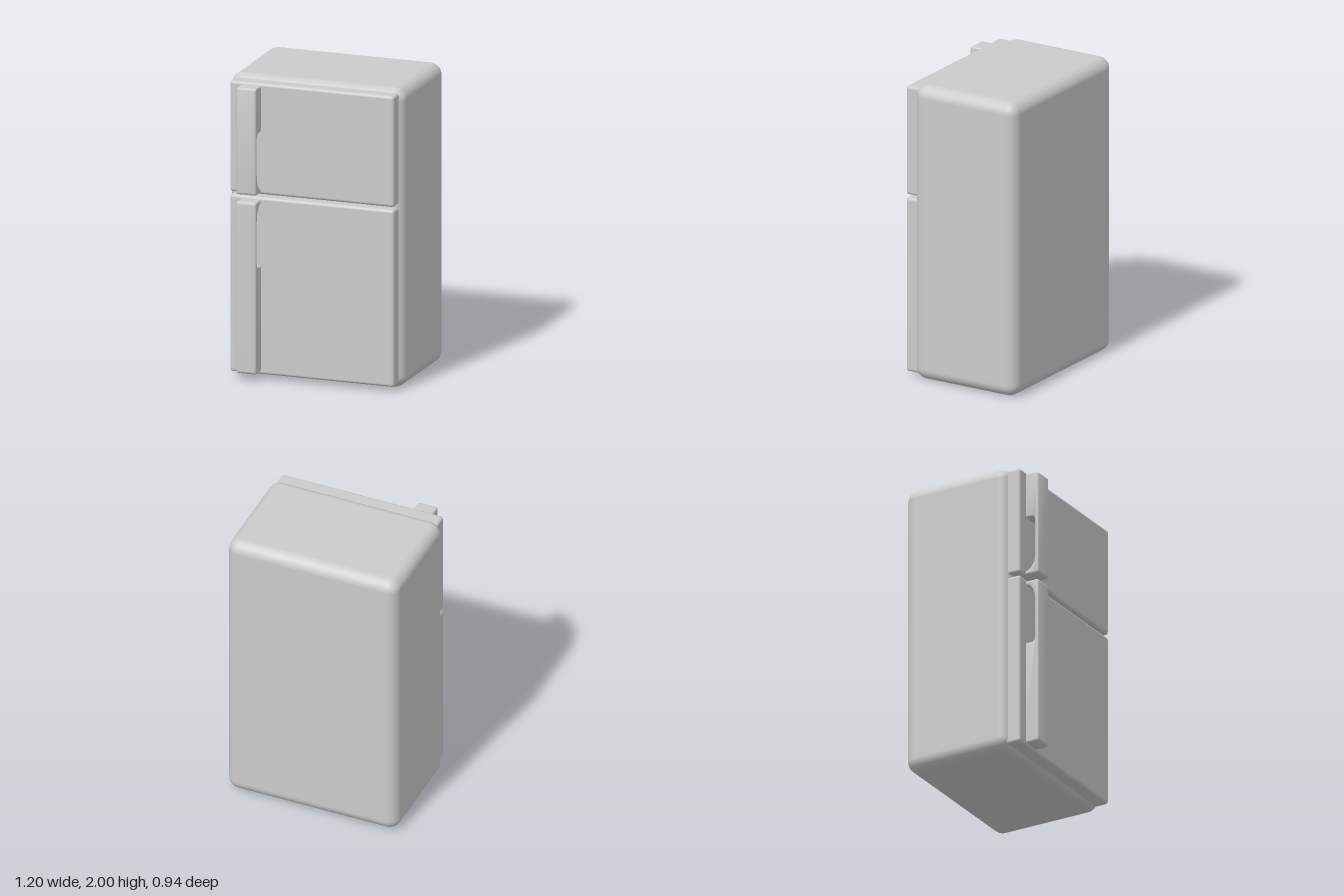
import * as THREE from 'three';
import { RoundedBoxGeometry } from 'three/addons/geometries/RoundedBoxGeometry.js';
import { toCreasedNormals } from 'three/addons/utils/BufferGeometryUtils.js';

const material = new THREE.MeshStandardMaterial({ color: 0xcccccc });

// Rounded block given by its minimum and maximum corners
function block(name, min, max, radius) {
  const size = max.map((v, i) => v - min[i]);
  const mesh = new THREE.Mesh(new RoundedBoxGeometry(...size, 6, radius), material);
  mesh.position.set(...max.map((v, i) => (v + min[i]) / 2));
  mesh.name = name;
  return mesh;
}

// Handle profile in (z, y), running from the gap between the doors in direction dir,
// with a finger recess cut into the side facing the door
function handle(name, base, dir, length, gripStart, gripEnd) {
  const back = 0.34, front = 0.47, recess = 0.442, r = 0.02;
  const y = (t) => base + dir * t;
  const s = new THREE.Shape();
  s.moveTo(back, y(0));
  s.lineTo(front - r, y(0));
  s.quadraticCurveTo(front, y(0), front, y(r));
  s.lineTo(front, y(length - r));
  s.quadraticCurveTo(front, y(length), front - r, y(length));
  s.lineTo(back, y(length));
  s.lineTo(back, y(gripEnd));
  s.lineTo(recess - 0.03, y(gripEnd));
  s.quadraticCurveTo(recess, y(gripEnd), recess, y(gripEnd - 0.03));
  s.lineTo(recess, y(gripStart + 0.11));
  s.bezierCurveTo(recess, y(gripStart + 0.05), recess - 0.03, y(gripStart + 0.005), 0.375, y(gripStart));
  s.lineTo(back, y(gripStart));
  s.closePath();

  const bevel = 0.012, width = 0.135;
  const geometry = new THREE.ExtrudeGeometry(s, {
    depth: width - 2 * bevel, curveSegments: 10, bevelEnabled: true,
    bevelThickness: bevel, bevelSize: bevel, bevelOffset: -bevel, bevelSegments: 4,
  });
  geometry.translate(0, 0, bevel);
  geometry.rotateY(-Math.PI / 2);
  geometry.translate(-0.35, 0, 0);
  const mesh = new THREE.Mesh(toCreasedNormals(geometry, 0.6), material);
  mesh.name = name;
  return mesh;
}

export function createModel() {
  const group = new THREE.Group();
  group.name = 'refrigerator';
  group.add(
    block('cabinet', [-0.6, 0, -0.47], [0.6, 2, 0.305], 0.08),
    block('freezerDoor', [-0.565, 1.235, 0.27], [0.565, 1.975, 0.378], 0.02),
    block('fridgeDoor', [-0.565, 0.032, 0.27], [0.565, 1.215, 0.378], 0.02),
    handle('freezerHandle', 1.245, 1, 0.715, 0.028, 0.405),
    handle('fridgeHandle', 1.198, -1, 1.148, 0.028, 0.438),
  );
  return group;
}
